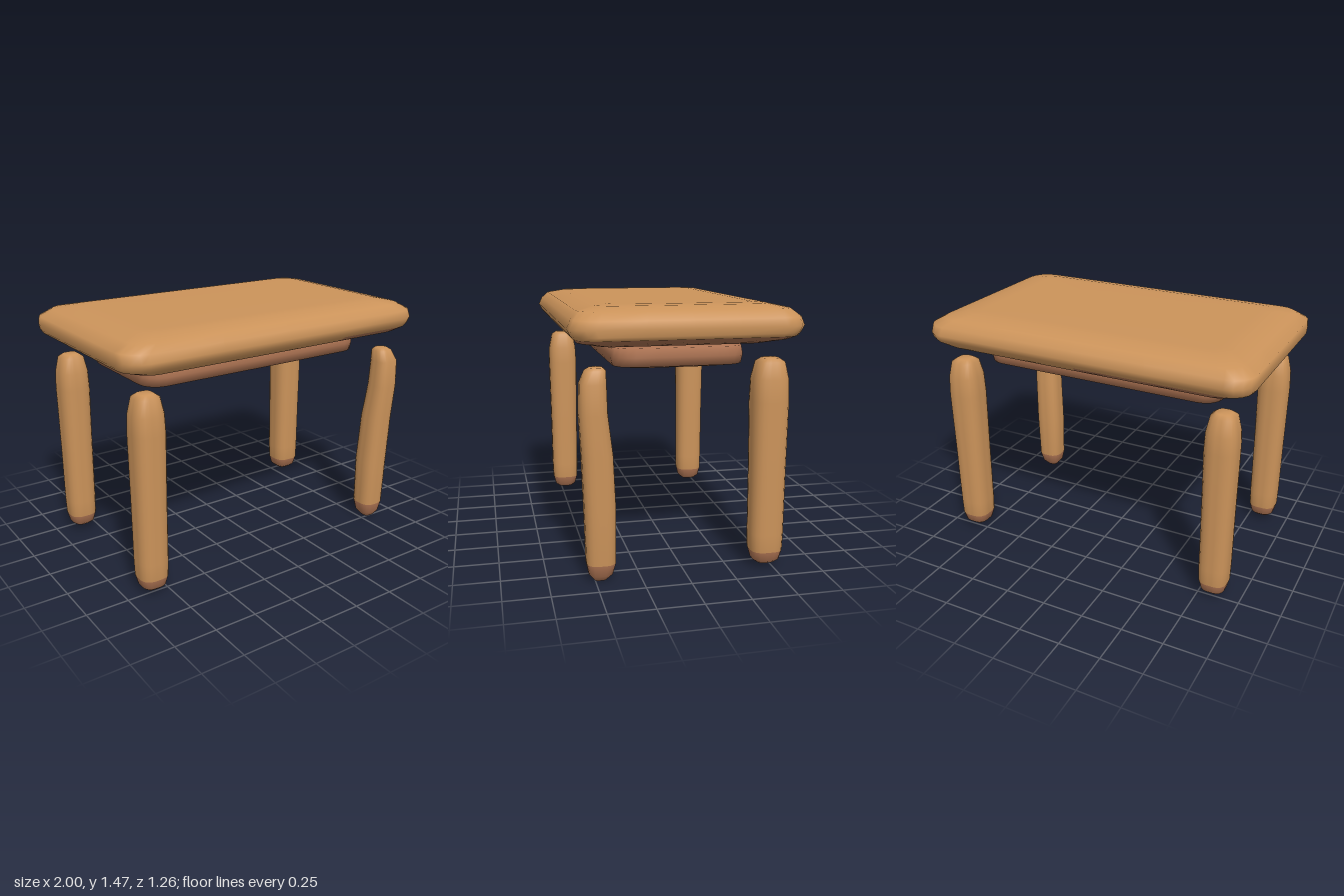
import * as THREE from 'three';

const wood = new THREE.MeshStandardMaterial({ color: 0xcb935a });
wood.name = 'lightWood';
const darkWood = new THREE.MeshStandardMaterial({ color: 0xa87050 });
darkWood.name = 'darkWood';

// Rounded rectangle outline in the xz plane; straight edges are subdivided
function outline(hx, hz, r, arc = 4, edge = 4) {
  const corners = [];
  for (let k = 0; k < 4; k++) {
    const sx = k === 0 || k === 3 ? 1 : -1, sz = k < 2 ? 1 : -1;
    for (let i = 0; i <= arc; i++) {
      const a = (k + i / arc) * Math.PI / 2;
      corners.push([sx * (hx - r) + r * Math.cos(a), sz * (hz - r) + r * Math.sin(a)]);
    }
  }
  const points = [];
  corners.forEach((p, i) => {
    points.push(p);
    if (i % (arc + 1) !== arc) return;
    const q = corners[(i + 1) % corners.length];
    for (let e = 1; e < edge; e++) {
      points.push([p[0] + (q[0] - p[0]) * e / edge, p[1] + (q[1] - p[1]) * e / edge]);
    }
  });
  return points;
}

// Smooth loft through rings { y, x, z, hx, hz, r }; isDark picks the colour of each face
function loft(name, rings, isDark) {
  const positions = [], light = [], dark = [];
  const loops = rings.map(s => outline(s.hx, s.hz, s.r).map(p => [p[0] + s.x, s.y, p[1] + s.z]));
  const n = loops[0].length;
  loops.forEach(loop => loop.forEach(p => positions.push(...p)));
  const first = rings[0], last = rings[rings.length - 1];
  positions.push(first.x, first.y, first.z, last.x, last.y, last.z);
  const bottom = n * rings.length, top = bottom + 1, end = n * (rings.length - 1);

  const add = (faces, ...points) => {
    const c = [0, 1, 2].map(k => points.reduce((sum, p) => sum + p[k], 0) / points.length);
    (isDark(...c) ? dark : light).push(...faces);
  };
  for (let j = 0; j < n; j++) {
    const k = (j + 1) % n;
    add([bottom, j, k], loops[0][j], loops[0][k]);
    add([top, end + k, end + j], loops[rings.length - 1][j], loops[rings.length - 1][k]);
    for (let i = 0; i < rings.length - 1; i++) {
      const a = i * n + j, b = i * n + k, c = a + n, d = b + n;
      add([a, c, b, b, c, d], loops[i][j], loops[i][k], loops[i + 1][j], loops[i + 1][k]);
    }
  }
  const geometry = new THREE.BufferGeometry();
  geometry.setAttribute('position', new THREE.Float32BufferAttribute(positions, 3));
  geometry.setIndex([...light, ...dark]);
  geometry.addGroup(0, light.length, 0);
  geometry.addGroup(light.length, dark.length, 1);
  geometry.computeVertexNormals();
  const mesh = new THREE.Mesh(geometry, [wood, darkWood]);
  mesh.name = name;
  return mesh;
}

// Slab centred on the y axis, from [y, half width, half depth, corner radius]
const slab = (name, rows, isDark) =>
  loft(name, rows.map(([y, hx, hz, r]) => ({ y, x: 0, z: 0, hx, hz, r })), isDark);

// Leg from [y, centre x, centre z, half width, half depth], with a dark foot
const leg = (name, rows) => loft(name,
  rows.map(([y, x, z, hx, hz]) => ({ y, x, z, hx, hz, r: Math.min(hx, hz) * 0.7 })),
  (x, y) => y < 0.1);

// Straight leg between two heights
function straightLeg(name, x, z, y0, y1, hx, hz) {
  const rows = [
    [y0, 0.5], [y0 + 0.02, 0.75], [0.1, 0.9], [0.2, 0.93], [0.55, 0.95],
    [0.95, 1], [y1 - 0.11, 0.95], [y1 - 0.02, 0.75], [y1, 0.45],
  ];
  return leg(name, rows.map(([y, s]) => [y, x, z, hx * s, hz * s]));
}

export function createModel() {
  const table = new THREE.Group();
  table.name = 'table';

  // Cushion-shaped top with a dark underside
  table.add(slab('tableTop', [
    [1.25, 0.72, 0.38, 0.08],
    [1.253, 0.8, 0.46, 0.09],
    [1.28, 0.905, 0.57, 0.11],
    [1.305, 0.985, 0.595, 0.12],
    [1.325, 1, 0.61, 0.13],
    [1.36, 1, 0.628, 0.13],
    [1.405, 1, 0.608, 0.13],
    [1.445, 0.93, 0.57, 0.12],
    [1.466, 0.83, 0.47, 0.1],
    [1.47, 0.75, 0.4, 0.08],
  ], (x, y, z) => {
    if (y < 1.27) return true;
    if (y > 1.3) return false;
    const onEnd = Math.abs(x) > 0.86;
    return onEnd || (z > 0 ? x > 0.4 : x < 0);
  }));

  // Dark slab under the top
  table.add(slab('underSlab', [
    [1.11, 0.56, 0.17, 0.06],
    [1.112, 0.63, 0.24, 0.08],
    [1.135, 0.75, 0.36, 0.11],
    [1.185, 0.76, 0.37, 0.12],
    [1.235, 0.75, 0.36, 0.11],
    [1.255, 0.63, 0.24, 0.08],
  ], () => true));

  // Three straight legs and one slightly bent front leg
  table.add(straightLeg('frontRightLeg', -0.835, 0.475, 0.025, 1.165, 0.093, 0.095));
  table.add(straightLeg('backRightLeg', -0.835, -0.465, 0.025, 1.165, 0.093, 0.095));
  table.add(straightLeg('backLeftLeg', 0.832, -0.465, 0.025, 1.18, 0.098, 0.1));
  table.add(leg('frontLeftLeg', [
    [0, 0.825, 0.47, 0.035, 0.035],
    [0.035, 0.825, 0.467, 0.065, 0.065],
    [0.1, 0.827, 0.465, 0.08, 0.08],
    [0.4, 0.83, 0.468, 0.086, 0.085],
    [0.7, 0.84, 0.48, 0.083, 0.083],
    [0.92, 0.852, 0.5, 0.078, 0.075],
    [1.08, 0.855, 0.5, 0.073, 0.07],
    [1.145, 0.845, 0.485, 0.055, 0.055],
    [1.16, 0.845, 0.48, 0.035, 0.035],
  ]));

  return table;
}
